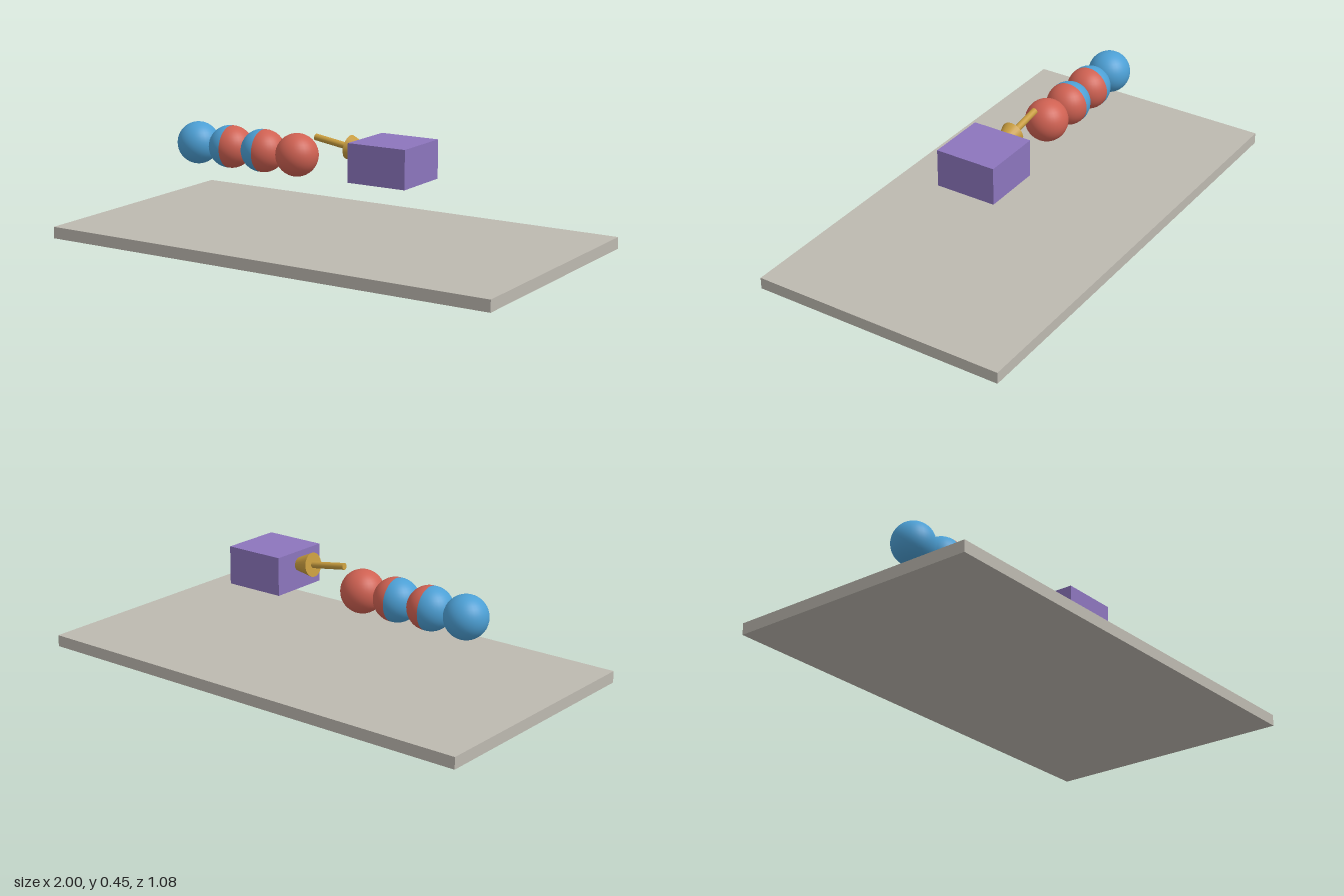
import * as THREE from 'three';

const paint = (name, color) => {
  const m = new THREE.MeshStandardMaterial({ color });
  m.name = name;
  return m;
};

export function createModel() {
  const model = new THREE.Group();
  model.name = 'model';
  const grey = paint('warmGrey', 0xbdb9b0);
  const blue = paint('blue', 0x4c9fd4);
  const red = paint('red', 0xcf6152);
  const purple = paint('purple', 0x8c75bd);
  const gold = paint('gold', 0xc79c3f);

  const add = (name, geometry, material, x, y, z = 0, parent = model) => {
    const mesh = new THREE.Mesh(geometry, material);
    mesh.name = name;
    mesh.position.set(x, y, z);
    parent.add(mesh);
    return mesh;
  };

  // Base slab and floating block
  add('base', new THREE.BoxGeometry(2, 0.048, 1.078), grey, 0, 0.024);
  add('block', new THREE.BoxGeometry(0.256, 0.157, 0.256), purple, 0.279, 0.369);

  // Two overlapping chains of balls, the red one shifted along by almost one step
  const ball = new THREE.SphereGeometry(0.088, 32, 20);
  const step = 0.161;
  for (let i = 0; i < 3; i++) {
    add('blueBall' + (i + 1), ball, blue, -0.664 + i * step, 0.345);
    add('redBall' + (i + 1), ball, red, -0.171 - (2 - i) * step, 0.345);
  }

  // Arrow tilted down into the block; its own axis is +y
  const arrow = new THREE.Group();
  arrow.name = 'arrow';
  const shaftLength = 0.16, headLength = 0.165;
  add('arrowShaft', new THREE.CylinderGeometry(0.0135, 0.0135, shaftLength, 20), gold, 0, shaftLength / 2, 0, arrow);
  add('arrowHead', new THREE.ConeGeometry(0.049, headLength, 24), gold, 0, shaftLength + headLength / 2, 0, arrow);
  arrow.position.set(-0.08, 0.428, 0);
  arrow.rotation.z = -Math.PI / 2 - 0.153;
  model.add(arrow);

  return model;
}
